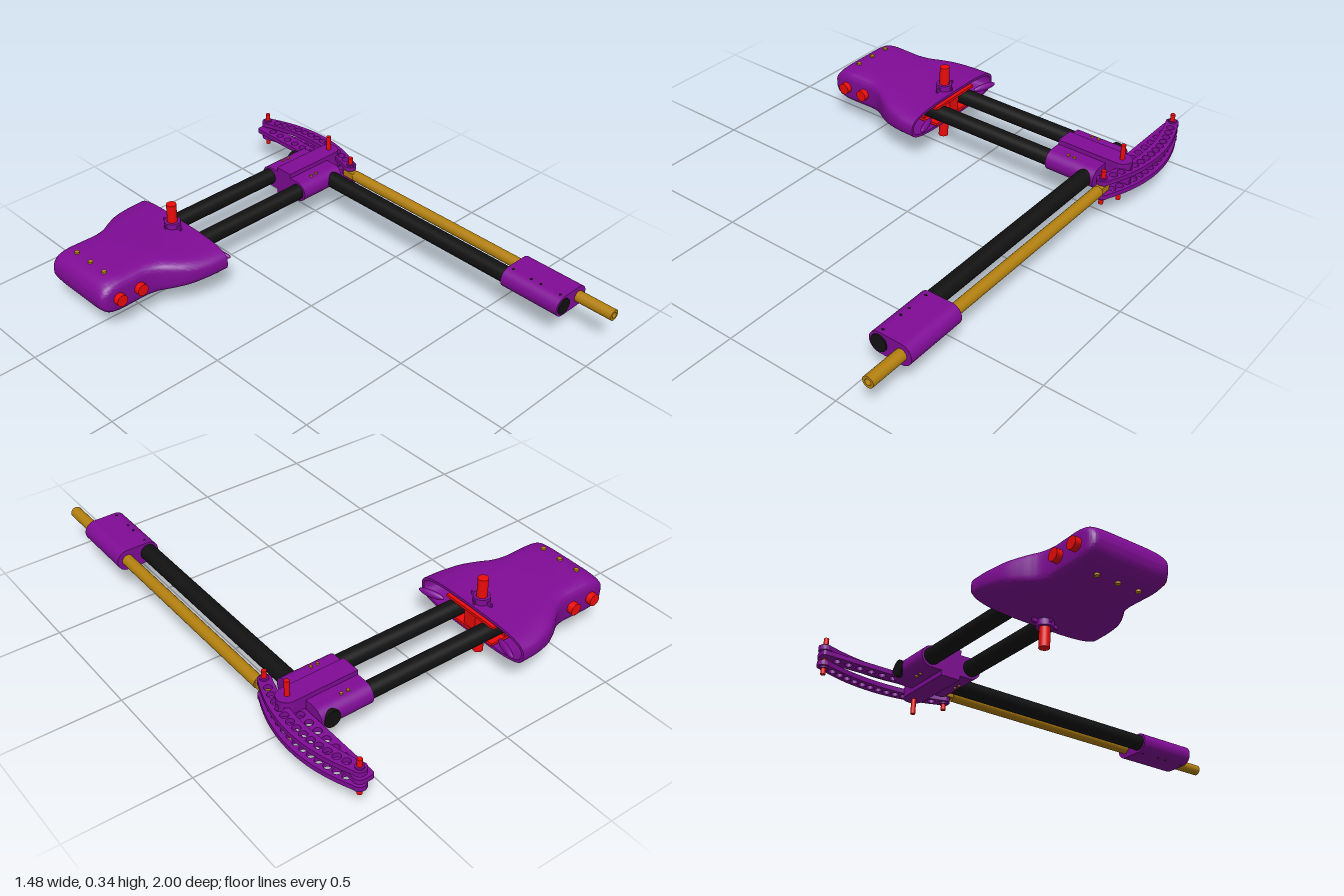
import * as THREE from 'three';
import { toCreasedNormals } from 'three/addons/utils/BufferGeometryUtils.js';

const CY = 0.17;   // height of the central plane
const CZ = -0.565; // middle of the twin tubes

const mat = (color, side = THREE.FrontSide) => new THREE.MeshStandardMaterial({ color, side });

export function createModel() {
  const model = new THREE.Group();
  const purple = mat(0x800c96), red = mat(0xee0a0a), black = mat(0x111111), gold = mat(0xb3800f);

  function add(name, geometry, material, x = 0, y = 0, z = 0) {
    const mesh = new THREE.Mesh(geometry, material);
    mesh.name = name;
    mesh.position.set(x, y, z);
    model.add(mesh);
    return mesh;
  }
  // Rod along one axis, from a to b; p and q are its other two coordinates in x, y, z order
  function rod(name, material, axis, r, a, b, p, q) {
    const g = new THREE.CylinderGeometry(r, r, b - a, 28);
    const m = (a + b) / 2;
    if (axis === 'x') return add(name, g.rotateZ(Math.PI / 2), material, m, p, q);
    if (axis === 'y') return add(name, g, material, p, m, q);
    return add(name, g.rotateX(Math.PI / 2), material, p, q, m);
  }
  // Plan-view shape (x, -z) raised from y0 to y1
  function slab(name, shape, y0, y1) {
    const g = new THREE.ExtrudeGeometry(shape, { depth: y1 - y0, bevelEnabled: false, curveSegments: 16 });
    return add(name, g.rotateX(-Math.PI / 2), purple, 0, y0, 0);
  }
  // Stadium outline around two circles at a and b on the horizontal axis
  function stadium(a, b, r) {
    const s = new THREE.Shape();
    s.moveTo(a, -r).lineTo(b, -r);
    s.absarc(b, 0, r, -Math.PI / 2, Math.PI / 2, false);
    s.lineTo(a, r);
    s.absarc(a, 0, r, Math.PI / 2, Math.PI * 1.5, false);
    return s;
  }
  function hole(shape, x, y, r) {
    shape.holes.push(new THREE.Path().absarc(x, y, r, 0, Math.PI * 2, true));
  }

  // Stock body: rounded sections lofted along x, then turned inward to form the open mouth
  const rows = [
    [-0.74, 0.14, 0], [-0.735, 0.158, 0.028], [-0.72, 0.17, 0.053], [-0.7, 0.175, 0.069],
    [-0.66, 0.176, 0.08], [-0.58, 0.176, 0.08], [-0.52, 0.177, 0.079], [-0.47, 0.192, 0.077],
    [-0.42, 0.225, 0.074], [-0.36, 0.259, 0.07], [-0.28, 0.281, 0.066], [-0.2, 0.286, 0.064],
  ].map(r => new THREE.Vector3(...r));
  const sections = new THREE.CatmullRomCurve3(rows, false, 'centripetal').getPoints(55);
  sections.push(new THREE.Vector3(-0.2, 0.274, 0.052), new THREE.Vector3(-0.33, 0.255, 0.055),
    new THREE.Vector3(-0.33, 0.01, 0));
  const N = 56, pos = [], idx = [];
  const power = (v, e) => Math.sign(v) * Math.abs(v) ** e;
  sections.forEach((s, i) => {
    const n = THREE.MathUtils.lerp(5, 3.2, THREE.MathUtils.smoothstep(s.x, -0.55, -0.25));
    for (let j = 0; j < N; j++) {
      const a = j / N * Math.PI * 2;
      pos.push(s.x, CY + s.z * power(Math.sin(a), 2 / n), CZ + s.y * power(Math.cos(a), 2 / n));
      if (i === sections.length - 1) continue;
      const p = i * N + j, q = i * N + (j + 1) % N;
      idx.push(p, p + N, q, q, p + N, q + N);
    }
  });
  const body = new THREE.BufferGeometry();
  body.setAttribute('position', new THREE.Float32BufferAttribute(pos, 3));
  body.setIndex(idx);
  add('stockBody', toCreasedNormals(body, 0.7), purple);

  // Red carrier inside the mouth
  add('carrierBlock', new THREE.BoxGeometry(0.06, 0.09, 0.25), red, -0.29, CY, CZ);
  for (const s of [-1, 1]) add('carrierPlate', new THREE.BoxGeometry(0.12, 0.012, 0.26), red, -0.25, CY + s * 0.039, CZ);
  add('carrierWeb', new THREE.BoxGeometry(0.1, 0.07, 0.06), red, -0.245, CY, CZ);

  // Side bolts, clamp bolts and mouth levers
  for (const x of [-0.66, -0.56]) rod('crossBolt', red, 'z', 0.025, CZ - 0.2, CZ + 0.2, x, CY);
  for (const dz of [-0.09, 0, 0.09]) rod('stockBolt', gold, 'y', 0.01, 0.083, 0.257, -0.66, CZ + dz);
  for (const s of [-1, 1]) {
    const lever = add('mouthLever', new THREE.SphereGeometry(1, 20, 12), purple, -0.185, CY, CZ + s * 0.21);
    lever.scale.set(0.013, 0.016, 0.058);
    lever.rotation.y = s * 0.3;
  }

  // Main vertical pin with collars and small ribs
  rod('mainPin', red, 'y', 0.021, 0, 0.34, -0.25, CZ);
  for (const s of [-1, 1]) {
    const ring = new THREE.Shape().absarc(0, 0, 0.034, 0, Math.PI * 2);
    hole(ring, 0, 0, 0.022);
    const g = new THREE.ExtrudeGeometry(ring, { depth: 0.03, bevelEnabled: false, curveSegments: 20 });
    add('pinCollar', g.rotateX(-Math.PI / 2), purple, -0.25, CY + s * 0.075 - 0.015, CZ);
    for (const t of [-1, 1]) {
      add('collarRib', new THREE.BoxGeometry(0.008, 0.02, 0.025), purple, -0.25, CY + s * 0.07, CZ + t * 0.043);
      add('collarRib', new THREE.BoxGeometry(0.012, 0.02, 0.008), purple, -0.25 + t * 0.035, CY + s * 0.07, CZ);
    }
  }

  // Twin tubes and the long tube
  for (const s of [-1, 1]) rod('twinTube', black, 'x', 0.035, -0.32, 0.58, CY, CZ + s * 0.09);
  rod('longTube', black, 'z', 0.035, -0.702, 0.835, 0.55, CY);

  // Joint: stadium block across both tubes, with a raised round-ended centre ridge
  const joint = new THREE.ExtrudeGeometry(stadium(-0.09, 0.09, 0.045), { depth: 0.225, bevelEnabled: false, curveSegments: 16 });
  add('jointBlock', joint.rotateY(Math.PI / 2), purple, 0.37, CY, CZ);
  const ridge = new THREE.Shape();
  ridge.moveTo(0.37, -CZ - 0.042).lineTo(0.645, -CZ - 0.042);
  ridge.absarc(0.645, -CZ, 0.042, -Math.PI / 2, Math.PI / 2, false);
  ridge.lineTo(0.37, -CZ + 0.042);
  slab('jointRidge', ridge, 0.105, 0.235);
  for (const x of [0.45, 0.48]) for (const s of [-1, 1])
    rod('jointBolt', gold, 'y', 0.006, CY - 0.051, CY + 0.051, x, CZ + s * 0.09);

  // Front sleeve holding the long tube and the push rod
  const sleeve = new THREE.ExtrudeGeometry(stadium(0.55, 0.645, 0.045), { depth: 0.275, bevelEnabled: false, curveSegments: 16 });
  add('frontSleeve', sleeve, purple, 0, CY, 0.555);
  for (const z of [0.58, 0.67, 0.715, 0.81])
    rod('sleeveScrewHole', black, 'y', 0.006, CY - 0.0455, CY + 0.0455, 0.55, z);

  // Hollow push rod with a tongue at the lever
  const tube = new THREE.Shape().absarc(0, 0, 0.024, 0, Math.PI * 2);
  hole(tube, 0, 0, 0.013);
  add('pushRod', new THREE.ExtrudeGeometry(tube, { depth: 1.39, bevelEnabled: false, curveSegments: 16 }), gold, 0.645, CY, -0.39);
  add('pushRodTongue', new THREE.BoxGeometry(0.034, 0.03, 0.07), gold, 0.645, CY, -0.415);

  // Curved perforated lever plates, above and below the middle one
  const bow = u => 0.645 + 0.057 * (1 - u * u);
  const zMid = 0.7, half = 0.272;
  const edge = [], steps = 24;
  for (const side of [1, -1]) {
    for (let i = 0; i <= steps; i++) {
      const u = side * (-1 + 2 * i / steps);
      edge.push(new THREE.Vector2(bow(u) + side * (0.028 + 0.005 * (1 - u * u)), zMid + half * u));
    }
    for (let k = 1; k < 8; k++) { // rounded tip
      const a = Math.PI * k / 8;
      edge.push(new THREE.Vector2(0.645 + side * 0.028 * Math.cos(a), zMid + side * (half + 0.028 * Math.sin(a))));
    }
  }
  const curved = new THREE.Shape(edge);
  for (let i = -6; i <= 6; i++) hole(curved, bow(i / 7.2), zMid + half * i / 7.2, 0.016);
  for (const y of [0.137, 0.203]) slab('curvedLeverPlate', curved, y - 0.01, y + 0.01);

  // Straight perforated middle plate
  const straight = new THREE.Shape();
  straight.moveTo(0.6, 0.53).lineTo(0.66, 0.53).lineTo(0.672, 0.97);
  straight.absarc(0.645, 0.973, 0.027, 0, Math.PI / 2, false);
  straight.lineTo(0.615, 1).quadraticCurveTo(0.6, 1, 0.6, 0.985);
  for (let i = 0; i < 7; i++) hole(straight, 0.632, 0.625 + i * 0.05, 0.016);
  slab('straightLeverPlate', straight, 0.16, 0.18);

  // Lever pins
  rod('pivotPin', red, 'y', 0.01, 0.04, 0.3, 0.645, CZ);
  for (const z of [-0.973, -0.425]) {
    rod('leverPin', red, 'y', 0.01, 0.095, 0.25, 0.645, z);
    for (const s of [-1, 1]) rod('leverPinBoss', purple, 'y', 0.017, CY + s * 0.046 - 0.004, CY + s * 0.046 + 0.004, 0.645, z);
  }
  return model;
}
